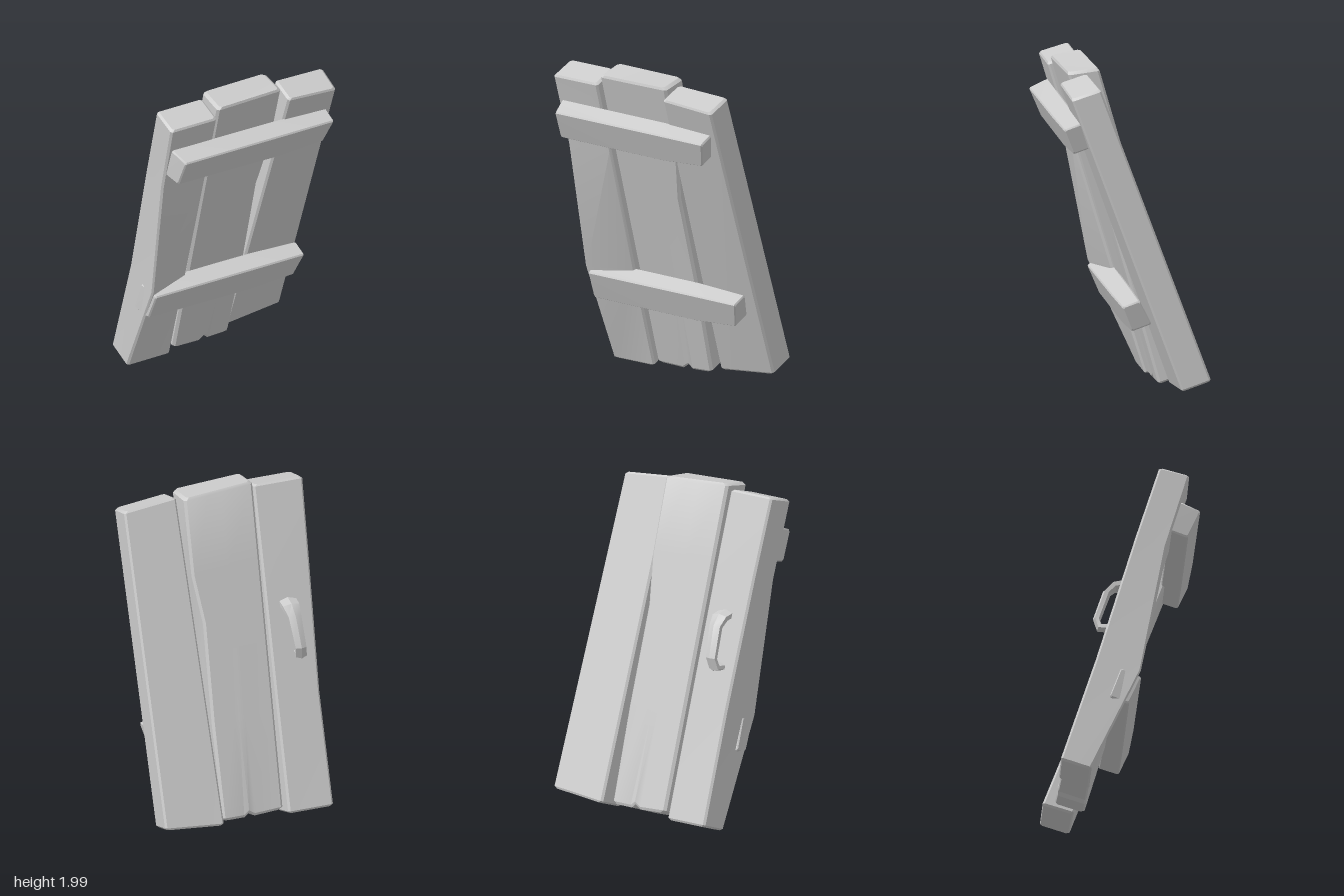
import * as THREE from 'three';
import { toCreasedNormals } from 'three/addons/utils/BufferGeometryUtils.js';

const V = (p) => new THREE.Vector3(...p);

// Skin a list of rings (counter-clockwise about the direction of travel) and cap both ends
function loft(rings) {
  const n = rings[0].length;
  const pos = [];
  const tri = (...pts) => pts.forEach((p) => pos.push(p.x, p.y, p.z));
  const quad = (a, b, c, d) => { tri(a, b, c); tri(a, c, d); };
  for (let k = 0; k < rings.length - 1; k++) {
    const a = rings[k], b = rings[k + 1];
    for (let i = 0; i < n; i++) {
      const j = (i + 1) % n;
      quad(a[i], a[j], b[j], b[i]);
    }
  }
  // caps are strips joining opposite sides of the ring
  const first = rings[0], last = rings[rings.length - 1];
  for (let i = 0; i < n / 2 - 1; i++) {
    const o = n - 1 - i;
    quad(last[i], last[i + 1], last[o - 1], last[o]);
    quad(first[o], first[o - 1], first[i + 1], first[i]);
  }
  const g = new THREE.BufferGeometry();
  g.setAttribute('position', new THREE.Float32BufferAttribute(pos, 3));
  return toCreasedNormals(g, 0.5);
}

const toward = (a, b, d) => a.clone().add(b.clone().sub(a).setLength(d));

// Bevelled timber from four-cornered sections; notch lists [position across, depth] at the first end
function timber(sections, bevel = 0.012, notch = []) {
  const s = sections.map((sec) => sec.map(V));
  const last = s.length - 1;
  const shrink = (sec) => {
    const c = sec.reduce((sum, p) => sum.add(p), new THREE.Vector3()).multiplyScalar(0.25);
    return sec.map((p) => toward(p, c, bevel * 1.4));
  };
  const inset = (a, b) => a.map((p, i) => toward(p, b[i], bevel));
  const all = [
    shrink(s[0]), inset(s[0], s[1]), ...s.slice(1, last),
    inset(s[last], s[last - 1]), shrink(s[last]),
  ];
  return loft(all.map((c, k) => {
    const ring = [];
    c.forEach((p, i) => {
      ring.push(toward(p, c[(i + 3) % 4], bevel), toward(p, c[(i + 1) % 4], bevel));
      if (i % 2 === 0) {
        const list = i === 0 ? notch : [...notch].reverse();
        list.forEach(([u, depth]) => {
          const q = i === 0 ? c[0].clone().lerp(c[1], u) : c[3].clone().lerp(c[2], u);
          if (k < 2) q.y += depth;
          ring.push(q);
        });
      }
    });
    return ring;
  }));
}

// Tapered six-sided bar through stations [x, y, z, half width, half thickness]
function bar(stations) {
  const pts = stations.map(V3 => V(V3.slice(0, 3)));
  const across = new THREE.Vector3(1, 0, 0);
  return loft(stations.map((st, k) => {
    const t = pts[Math.min(k + 1, pts.length - 1)].clone().sub(pts[Math.max(k - 1, 0)]);
    const up = t.cross(across).normalize();
    return Array.from({ length: 6 }, (_, i) => {
      const a = (i + 0.5) * Math.PI / 3;
      return pts[k].clone()
        .addScaledVector(across, Math.cos(a) * st[3] * 1.15)
        .addScaledVector(up, Math.sin(a) * st[4]);
    });
  }));
}

export function createModel() {
  const group = new THREE.Group();
  group.name = 'leaningPlankDoor';
  const grey = new THREE.MeshStandardMaterial({ color: 0xcccccc });
  grey.name = 'plainGrey';
  const add = (name, geometry) => {
    const mesh = new THREE.Mesh(geometry, grey);
    mesh.name = name;
    group.add(mesh);
    return mesh;
  };

  // Planks: sections run bottom to top, corners front -x, front +x, back +x, back -x
  add('rightPlank', timber([
    [[-0.535, 0, -0.2], [-0.24, 0, -0.2], [-0.25, 0.06, -0.38], [-0.535, 0.06, -0.38]],
    [[-0.535, 0.65, 0.1], [-0.245, 0.65, 0], [-0.25, 0.71, -0.18], [-0.53, 0.72, -0.17]],
    [[-0.555, 1.45, 0.247], [-0.25, 1.45, 0.243], [-0.253, 1.51, 0.063], [-0.555, 1.51, 0.063]],
    [[-0.57, 1.915, 0.385], [-0.255, 1.915, 0.385], [-0.255, 1.965, 0.205], [-0.57, 1.965, 0.205]],
  ]));

  // Middle plank: straight between its ends, with a worn +x edge and a nick at the foot
  const foot = [[-0.22, 0.03, -0.2], [0.165, 0.03, -0.21], [0.17, 0.09, -0.385], [-0.22, 0.09, -0.365]];
  const head = [[-0.245, 1.97, 0.375], [0.21, 1.96, 0.345], [0.205, 1.98, 0.155], [-0.245, 2, 0.19]];
  const worn = [[0.3, 0.175], [0.61, 0.165], [0.76, 0.205]].map(([t, edge]) =>
    foot.map((p, i) => {
      const q = p.map((v, a) => v + (head[i][a] - v) * t);
      if (i === 1 || i === 2) q[0] = edge;
      return q;
    }));
  add('middlePlank', timber([foot, ...worn, head], 0.015,
    [[0.47, -0.005], [0.57, 0.022], [0.65, -0.003]]));

  add('leftPlank', timber([
    [[0.185, 0.04, -0.27], [0.56, 0.075, -0.28], [0.565, 0.135, -0.455], [0.19, 0.1, -0.455]],
    [[0.225, 1.91, 0.4], [0.56, 1.88, 0.385], [0.565, 1.935, 0.21], [0.225, 1.96, 0.235]],
  ]));

  // Cross battens: sections run -x to +x, corners front low, back low, back high, front high
  const batten = timber([
    [[-0.52, 1.53, 0.375], [-0.55, 1.56, 0.26], [-0.54, 1.755, 0.33], [-0.51, 1.71, 0.452]],
    [[0.2, 1.515, 0.365], [0.2, 1.56, 0.25], [0.2, 1.748, 0.33], [0.2, 1.7, 0.44]],
    [[0.485, 1.53, 0.36], [0.485, 1.57, 0.24], [0.525, 1.725, 0.32], [0.525, 1.69, 0.425]],
  ], 0.008);
  add('upperBatten', batten);
  add('lowerBatten', batten).position.set(0, -1.092, -0.35);

  // Pull handle on the back
  add('handle', bar([
    [-0.39, 1.27, 0.02, 0.055, 0.028],
    [-0.39, 1.255, -0.055, 0.052, 0.028],
    [-0.395, 1.21, -0.1, 0.04, 0.025],
    [-0.41, 1.03, -0.16, 0.034, 0.023],
    [-0.42, 0.975, -0.145, 0.034, 0.025],
    [-0.435, 0.965, -0.06, 0.034, 0.025],
  ]));

  return group;
}
